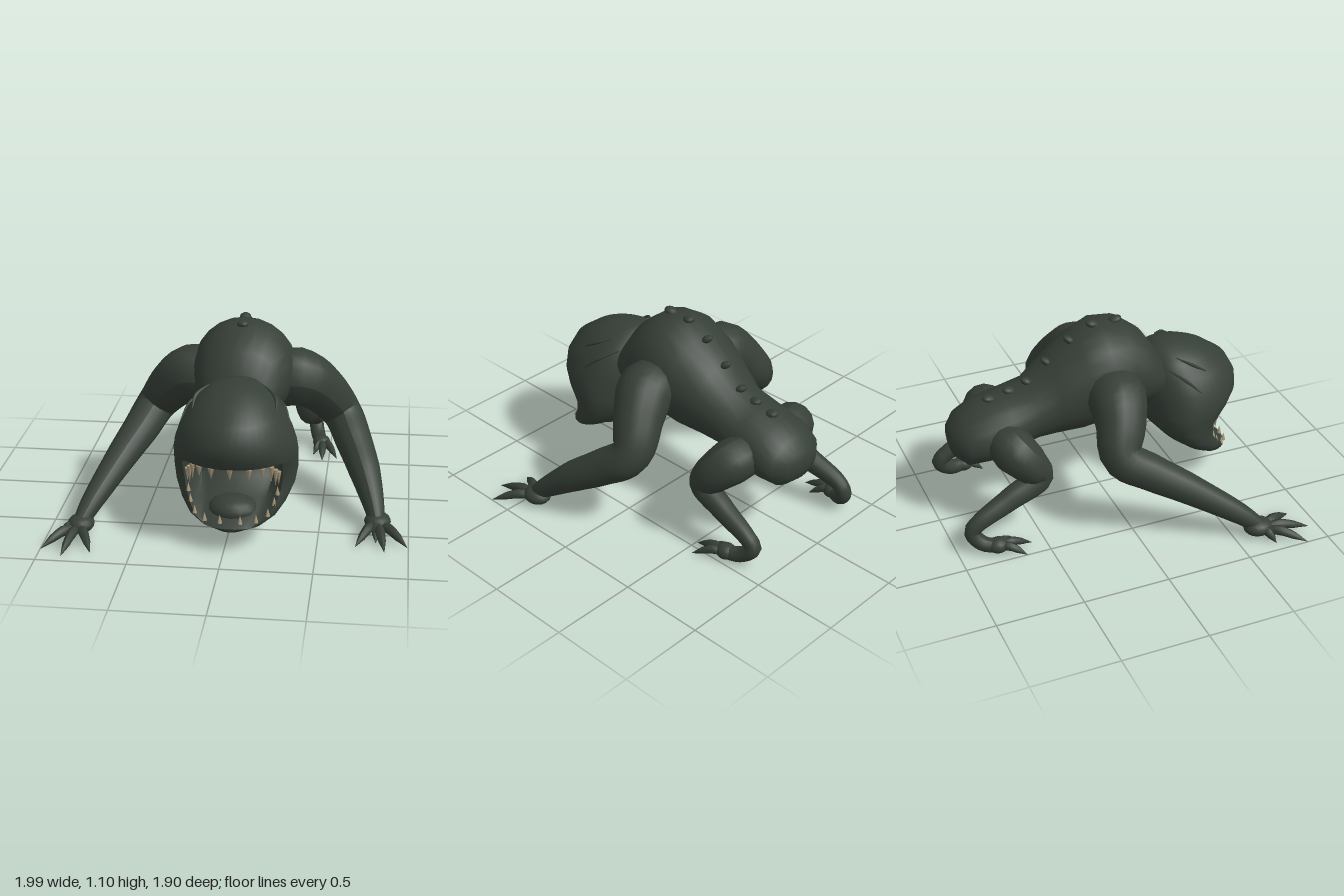
import * as THREE from 'three';
import { toCreasedNormals } from 'three/addons/utils/BufferGeometryUtils.js';

const skin = new THREE.MeshStandardMaterial({ color: 0x363f37 });
skin.name = 'dark green skin';
const ivory = new THREE.MeshStandardMaterial({ color: 0xa8977a });
ivory.name = 'ivory';
const CX = 0.035; // body axis
const V = (x, y, z) => new THREE.Vector3(x, y, z);

function add(parent, name, geometry, material = skin) {
  const mesh = new THREE.Mesh(geometry, material);
  mesh.name = name;
  parent.add(mesh);
  return mesh;
}

// Skin closed rings of points into a capped solid
function loft(rings, crease) {
  const n = rings[0].length, pos = [], idx = [];
  rings.forEach(r => r.forEach(p => pos.push(p.x, p.y, p.z)));
  for (let i = 0; i < rings.length - 1; i++) {
    for (let j = 0; j < n; j++) {
      const a = i * n + j, b = i * n + (j + 1) % n;
      idx.push(a, b, b + n, a, b + n, a + n);
    }
  }
  [0, rings.length - 1].forEach((k, end) => {
    const c = rings[k].reduce((s, p) => s.add(p), V(0, 0, 0)).divideScalar(n);
    const ci = pos.length / 3;
    pos.push(c.x, c.y, c.z);
    for (let j = 0; j < n; j++) {
      const a = k * n + j, b = k * n + (j + 1) % n;
      if (end) idx.push(ci, a, b); else idx.push(ci, b, a);
    }
  });
  const g = new THREE.BufferGeometry();
  g.setAttribute('position', new THREE.Float32BufferAttribute(pos, 3));
  g.setIndex(idx);
  return toCreasedNormals(g, crease);
}

// Tapered tube through points [x, y, z, radius]
function limb(pts, segs = 24, sides = 12) {
  const curve = new THREE.CatmullRomCurve3(pts.map(p => V(p[0], p[1], p[2])), false, 'centripetal');
  const g = new THREE.TubeGeometry(curve, segs, 1, sides, false);
  const pos = g.attributes.position, v = V(0, 0, 0);
  for (let i = 0; i <= segs; i++) {
    const c = curve.getPointAt(i / segs);
    const t = curve.getUtoTmapping(i / segs) * (pts.length - 1);
    const k = Math.min(Math.floor(t), pts.length - 2);
    const r = THREE.MathUtils.lerp(pts[k][3], pts[k + 1][3], t - k);
    for (let j = 0; j <= sides; j++) {
      const q = i * (sides + 1) + j;
      v.fromBufferAttribute(pos, q).sub(c).multiplyScalar(r).add(c);
      pos.setXYZ(q, v.x, v.y, v.z);
    }
  }
  g.computeVertexNormals();
  return g;
}

function ball(parent, name, x, y, z, rx, ry, rz) {
  const m = add(parent, name, new THREE.SphereGeometry(1, 16, 10));
  m.position.set(x, y, z);
  m.scale.set(rx, ry, rz);
  return m;
}

// Clawed digits fanning from a palm to tips [x, z]
function digits(parent, name, palm, tips, r) {
  tips.forEach(([x, z]) => {
    const at = (t, y, rad) => [palm[0] + (x - palm[0]) * t, y, palm[1] + (z - palm[1]) * t, rad];
    add(parent, name, limb([at(0.1, 0.045, r * 0.8), at(0.4, 0.055, r), at(0.7, 0.035, r * 0.75), at(1, 0.006, 0.001)], 9, 8));
  });
}

export function createModel() {
  const model = new THREE.Group();
  model.name = 'creature';

  // Torso: z, top, bottom, half width
  const torso = [
    [-0.905, 0.56, 0.48, 0.05], [-0.89, 0.6, 0.43, 0.12], [-0.83, 0.66, 0.375, 0.2],
    [-0.72, 0.72, 0.375, 0.225], [-0.58, 0.755, 0.4, 0.22], [-0.42, 0.8, 0.45, 0.205],
    [-0.3, 0.91, 0.455, 0.235], [-0.14, 1.03, 0.46, 0.285], [0, 1.095, 0.48, 0.3],
    [0.14, 1.08, 0.51, 0.285], [0.27, 0.98, 0.54, 0.24], [0.35, 0.86, 0.56, 0.2], [0.4, 0.75, 0.62, 0.08]
  ];
  add(model, 'torso', loft(torso.map(([z, top, bot, w]) => Array.from({ length: 24 }, (_, j) => {
    const a = j / 24 * Math.PI * 2;
    return V(CX + w * Math.cos(a), (top + bot) / 2 + (top - bot) / 2 * Math.sin(a), z);
  })), 1.2));

  // Head: y, back z, front z, half width, mouth depth
  const head = [
    [0.13, 0.68, 0.81, 0.08, 0], [0.15, 0.63, 0.815, 0.17, 0], [0.19, 0.55, 0.81, 0.24, 0.06],
    [0.245, 0.46, 0.77, 0.29, 0.15], [0.32, 0.37, 0.72, 0.33, 0.25], [0.4, 0.3, 0.73, 0.345, 0.3],
    [0.485, 0.27, 0.81, 0.345, 0.3], [0.5, 0.27, 0.82, 0.345, 0], [0.565, 0.26, 0.86, 0.335, 0],
    [0.64, 0.26, 0.86, 0.31, 0], [0.73, 0.27, 0.81, 0.265, 0], [0.81, 0.3, 0.7, 0.195, 0],
    [0.86, 0.34, 0.6, 0.12, 0], [0.877, 0.4, 0.52, 0.04, 0]
  ];
  const mouthHalf = 52.5;
  add(model, 'head', loft(head.map(([y, back, front, w, depth]) => Array.from({ length: 48 }, (_, j) => {
    const deg = j * 7.5 - 180, a = deg * Math.PI / 180, zm = back + 0.4 * (front - back);
    const c = Math.cos(a), z = zm + c * (c > 0 ? front - zm : zm - back);
    const inside = THREE.MathUtils.clamp((1 - Math.abs(deg) / mouthHalf) * 4, 0, 1);
    return V(CX + w * Math.sin(a), y, z - depth * inside);
  })), 0.9));
  ball(model, 'tongue', CX, 0.2, 0.64, 0.14, 0.075, 0.12);

  // Teeth
  const tooth = (name, x, y, z, r, h, down) => {
    const m = add(model, name, new THREE.ConeGeometry(r, h, 7), ivory);
    m.position.set(CX + x, y, z);
    m.rotation.x = down ? Math.PI : 0;
  };
  [-31, -18, 0, 18, 31].forEach(d => {
    const a = d * Math.PI / 180;
    tooth('upperTooth', 0.33 * Math.sin(a), 0.46, 0.49 + 0.305 * Math.cos(a), 0.018, 0.065, true);
  });
  for (const s of [-1, 1]) {
    [[0.215, 0.43, 0.69, 0.09], [0.235, 0.4, 0.665, 0.1], [0.25, 0.39, 0.645, 0.08]].forEach(([x, y, z, h]) =>
      tooth('fang', s * x, y, z, 0.015, h, true));
    [[0.245, 0.32, 0.65], [0.23, 0.27, 0.68], [0.2, 0.225, 0.73], [0.14, 0.205, 0.775], [0.055, 0.2, 0.79]].forEach(([x, y, z]) =>
      tooth('lowerTooth', s * x, y, z, 0.013, 0.05, false));
    // Raised creases on the sides of the head
    [[[0.228, 0.755, 0.59], [0.217, 0.805, 0.51], [0.155, 0.838, 0.43]],
      [[0.3, 0.66, 0.53], [0.26, 0.735, 0.45], [0.17, 0.79, 0.36]]].forEach(line =>
      add(model, 'headCrease', limb(line.map(([x, y, z], i) => [CX + s * x, y, z, i === 1 ? 0.011 : 0.003]), 10, 6)));
  }

  // Bumps along the spine
  [[-0.66, 0.738], [-0.54, 0.765], [-0.43, 0.798], [-0.31, 0.9], [-0.17, 1.01], [-0.03, 1.085], [0.11, 1.085]].forEach(([z, y], i) => {
    const m = ball(model, 'spineBump', 0.03, y, z, 0.034, 0.022, 0.04);
    m.geometry = new THREE.IcosahedronGeometry(1, 1);
    m.rotation.x = [0.2, 0.2, 0.5, 0.65, 0.6, 0.2, -0.2][i];
  });

  // Arms
  const leftArm = [[0.2, 0.72, 0, 0.16], [0.34, 0.745, 0, 0.17], [0.46, 0.66, -0.06, 0.145], [0.59, 0.49, -0.12, 0.115],
    [0.67, 0.37, 0.03, 0.105], [0.74, 0.26, 0.2, 0.09], [0.8, 0.13, 0.37, 0.06], [0.82, 0.07, 0.44, 0.045]];
  const rightArm = [[-0.13, 0.72, 0, 0.16], [-0.27, 0.745, 0, 0.17], [-0.39, 0.66, -0.03, 0.145], [-0.5, 0.52, -0.07, 0.115],
    [-0.57, 0.42, 0.08, 0.105], [-0.65, 0.32, 0.26, 0.09], [-0.78, 0.14, 0.55, 0.06], [-0.82, 0.07, 0.64, 0.045]];
  add(model, 'leftArm', limb(leftArm, 36, 16));
  add(model, 'rightArm', limb(rightArm, 36, 16));
  ball(model, 'leftHand', 0.825, 0.06, 0.43, 0.075, 0.05, 0.085);
  ball(model, 'rightHand', -0.82, 0.06, 0.64, 0.075, 0.05, 0.085);
  digits(model, 'leftFinger', [0.82, 0.43], [[0.71, 0.66], [0.87, 0.71], [0.995, 0.64], [0.82, 0.6]], 0.029);
  digits(model, 'rightFinger', [-0.83, 0.65], [[-0.72, 0.89], [-0.87, 0.945], [-0.998, 0.87], [-0.94, 0.7]], 0.029);

  // Hind legs
  const leftLeg = [[0.18, 0.53, -0.62, 0.12], [0.3, 0.52, -0.6, 0.13], [0.37, 0.44, -0.53, 0.11], [0.38, 0.36, -0.48, 0.08],
    [0.39, 0.27, -0.63, 0.065], [0.4, 0.18, -0.82, 0.048], [0.4, 0.13, -0.87, 0.045], [0.42, 0.06, -0.8, 0.045],
    [0.45, 0.045, -0.7, 0.04], [0.455, 0.04, -0.67, 0.01]];
  const rightLeg = [[-0.11, 0.53, -0.62, 0.12], [-0.22, 0.52, -0.6, 0.13], [-0.27, 0.44, -0.53, 0.11], [-0.28, 0.36, -0.48, 0.08],
    [-0.31, 0.27, -0.67, 0.065], [-0.34, 0.18, -0.87, 0.048], [-0.34, 0.13, -0.91, 0.045], [-0.37, 0.06, -0.86, 0.045],
    [-0.41, 0.045, -0.77, 0.04], [-0.415, 0.04, -0.74, 0.01]];
  add(model, 'leftLeg', limb(leftLeg, 48, 14));
  add(model, 'rightLeg', limb(rightLeg, 48, 14));
  ball(model, 'leftFoot', 0.445, 0.05, -0.71, 0.055, 0.045, 0.06);
  ball(model, 'rightFoot', -0.405, 0.05, -0.78, 0.055, 0.045, 0.06);
  digits(model, 'leftToe', [0.45, -0.72], [[0.46, -0.51], [0.55, -0.55], [0.4, -0.6]], 0.026);
  digits(model, 'rightToe', [-0.41, -0.79], [[-0.4, -0.58], [-0.5, -0.64], [-0.34, -0.66]], 0.026);

  return model;
}
